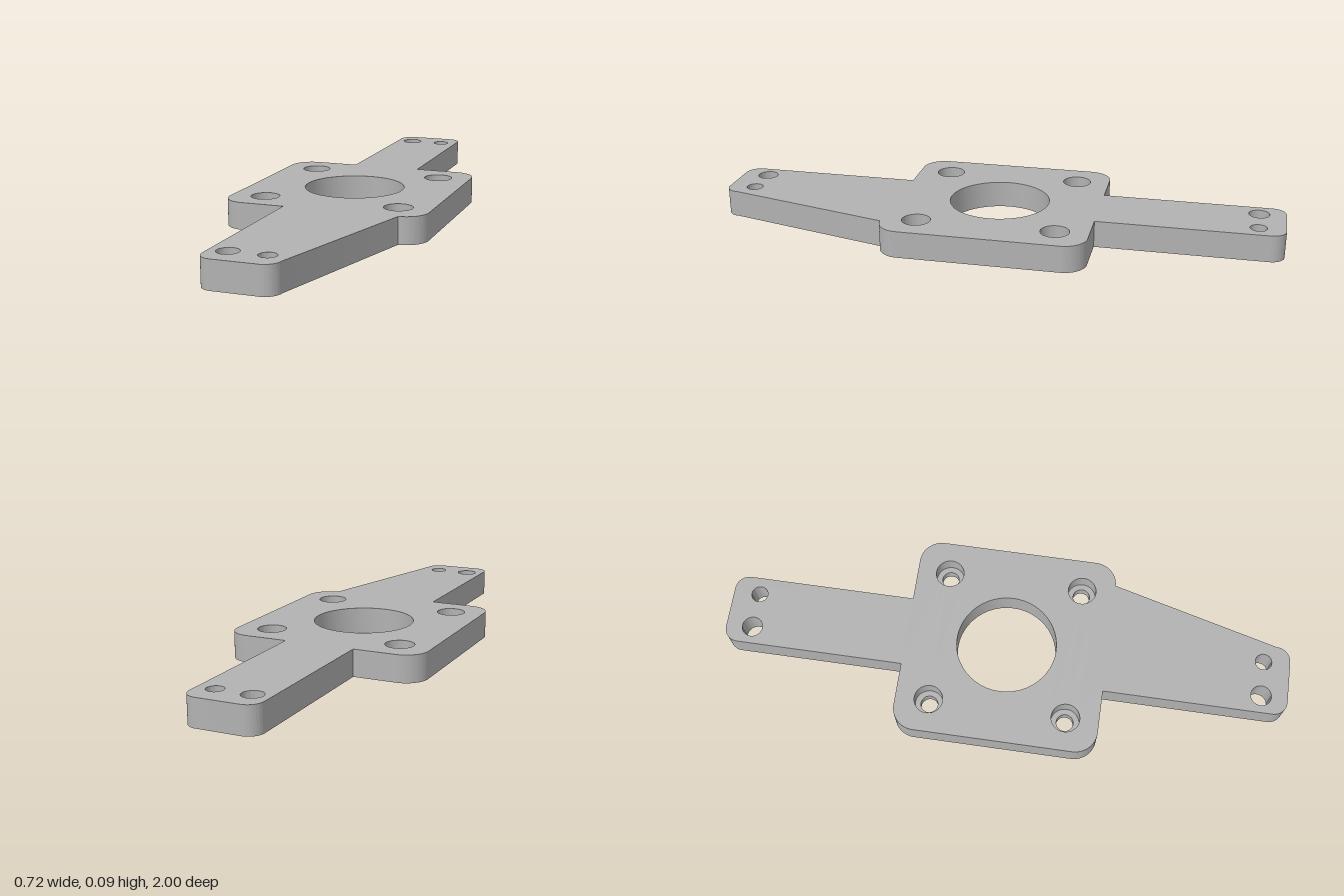
import * as THREE from 'three';
import { toCreasedNormals } from 'three/addons/utils/BufferGeometryUtils.js';

const HEIGHT = 0.095;
const PLATE = 0.358, PLATE_R = 0.08; // half width and corner radius of the square plate
const ARM = 0.125, ARM_R = 0.05;     // half width and corner radius of the arms
const BOLT = 0.241, BORE_R = 0.05, BOLT_R = 0.03, LEDGE = 0.035;

const circle = (x, y, r) => new THREE.Path().absarc(x, y, r, 0, Math.PI * 2, true);

// Extrude a flat outline upward from y = 0
function extrudeUp(shape, depth) {
  const geo = new THREE.ExtrudeGeometry(shape, { depth, bevelEnabled: false, curveSegments: 24 });
  geo.rotateX(-Math.PI / 2);
  return toCreasedNormals(geo, 0.6);
}

// Cross-shaped outline, counter-clockwise, with rounded outer corners
function outline() {
  const s = new THREE.Shape();
  const q = Math.PI / 2;
  const corner = (x, y, r, turn) => s.absarc(x, y, r, turn * q, (turn + 1) * q, false);
  const p = PLATE - PLATE_R, a = ARM - ARM_R, e = 1 - ARM_R;
  s.moveTo(ARM, -PLATE);
  corner(p, -p, PLATE_R, 3);
  corner(p, p, PLATE_R, 0);
  s.lineTo(ARM, PLATE);
  corner(a, e, ARM_R, 0);
  corner(-a, e, ARM_R, 1);
  s.lineTo(-ARM, PLATE);
  corner(-p, p, PLATE_R, 1);
  corner(-p, -p, PLATE_R, 2);
  s.lineTo(-ARM, -PLATE);
  corner(-a, -e, ARM_R, 2);
  corner(a, -e, ARM_R, 3);
  s.closePath();
  return s;
}

export function createModel() {
  const group = new THREE.Group();
  group.name = 'mountingBracket';
  const metal = new THREE.MeshStandardMaterial({ color: 0xb2b2b2 });
  metal.name = 'grey metal';

  // Plate and arms with the centre opening, counterbores and arm holes
  const body = outline();
  body.holes.push(circle(0, 0, 0.177));
  for (const s of [-1, 1]) {
    body.holes.push(circle(-0.063, s * 0.907, 0.036), circle(0.063, s * 0.907, 0.029));
    for (const t of [-1, 1]) body.holes.push(circle(s * BOLT, t * BOLT, BORE_R));
  }
  const plate = new THREE.Mesh(extrudeUp(body, HEIGHT), metal);
  plate.name = 'plateWithArms';
  group.add(plate);

  // Ledge at the bottom of each counterbore, with the narrower bolt hole
  const ring = new THREE.Shape().absarc(0, 0, BORE_R, 0, Math.PI * 2, false);
  ring.holes.push(circle(0, 0, BOLT_R));
  const ringGeo = extrudeUp(ring, LEDGE);
  for (const x of [-BOLT, BOLT]) for (const z of [-BOLT, BOLT]) {
    const ledge = new THREE.Mesh(ringGeo, metal);
    ledge.name = 'counterboreLedge';
    ledge.position.set(x, 0, z);
    group.add(ledge);
  }
  return group;
}
